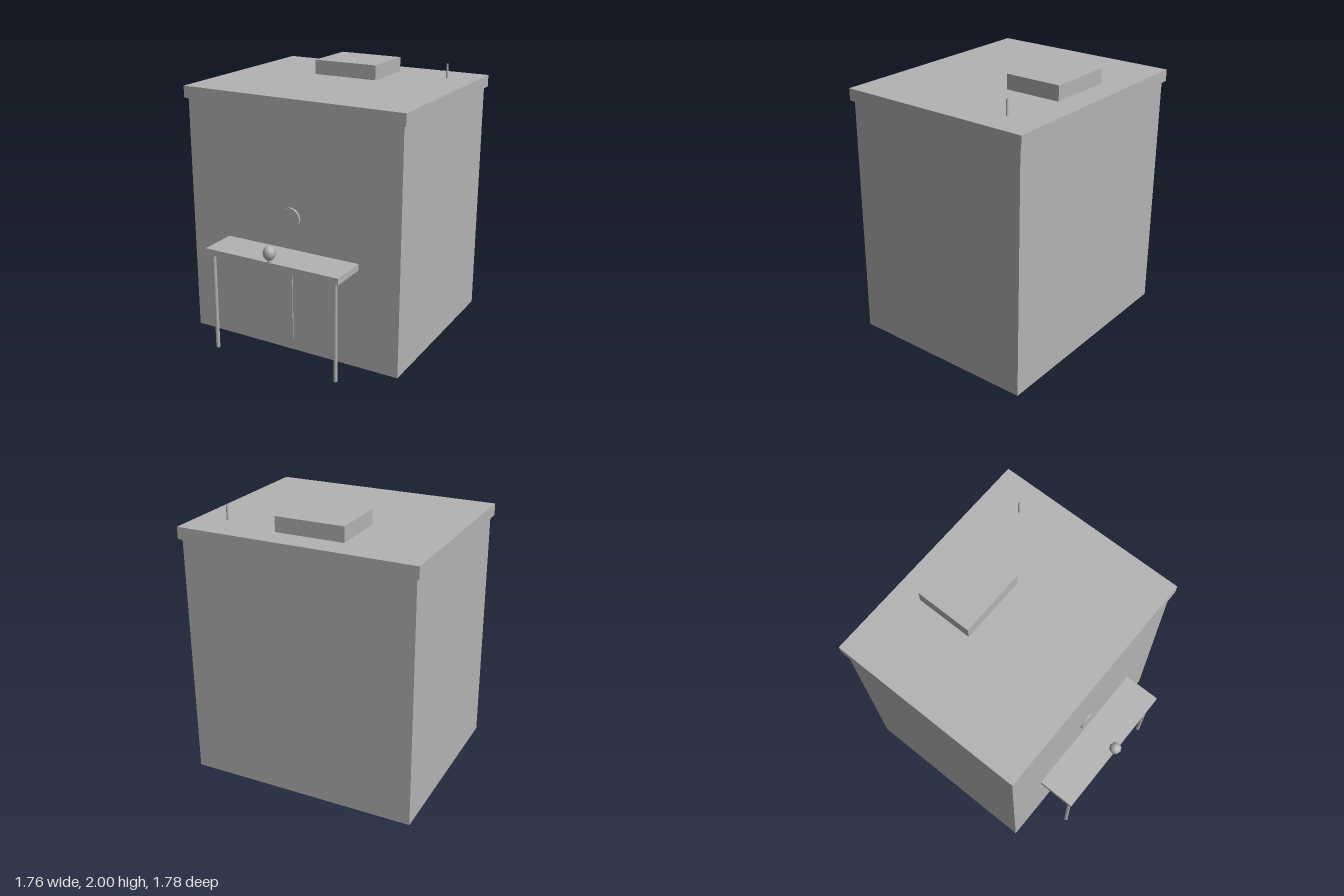
import * as THREE from 'three';

const grey = new THREE.MeshStandardMaterial({ color: 0xb3b3b3, side: THREE.DoubleSide });
grey.name = 'plain grey';

export function createModel() {
  const model = new THREE.Group();
  model.name = 'kiosk';

  const add = (name, geometry, x, y, z) => {
    const mesh = new THREE.Mesh(geometry, grey);
    mesh.name = name;
    mesh.position.set(x, y, z);
    model.add(mesh);
    return mesh;
  };

  // Box given by its limits; an open one has no underside
  const box = (name, [x0, x1], [y0, y1], [z0, z1], open = false) => {
    const g = new THREE.BoxGeometry(x1 - x0, y1 - y0, z1 - z0);
    if (open) {
      const index = Array.from(g.index.array);
      index.splice(18, 6);
      g.setIndex(index);
      g.clearGroups();
    }
    return add(name, g, (x0 + x1) / 2, (y0 + y1) / 2, (z0 + z1) / 2);
  };

  // Upright open tube standing between two heights
  const post = (name, radius, y0, y1, x, z) =>
    add(name, new THREE.CylinderGeometry(radius, radius, y1 - y0, 8, 1, true), x, (y0 + y1) / 2, z);

  // Hollow building, roof cap and what stands on it
  box('walls', [-0.856, 0.856], [0, 1.803], [-0.865, 0.562], true);
  box('roof', [-0.878, 0.878], [1.803, 1.89], [-0.887, 0.585], true);
  box('roofVent', [-0.285, 0.226], [1.89, 2], [-0.697, -0.27], true);
  post('antenna', 0.008, 1.89, 2, 0.655, -0.607);

  // Counter on two front legs
  box('counter', [-0.541, 0.541], [0.747, 0.795], [0.562, 0.847]);
  for (const side of [-1, 1]) post(side < 0 ? 'rightLeg' : 'leftLeg', 0.015, 0, 0.747, side * 0.5, 0.808);

  // Egg-shaped bulb on a short stem at the counter edge
  post('bulbStem', 0.014, 0.795, 0.825, 0, 0.843);
  add('bulb', new THREE.SphereGeometry(0.047, 8, 6), 0, 0.867, 0.843).scale.y = 1.17;

  // Round plate and narrow strip on the front wall
  const plate = new THREE.CylinderGeometry(0.079, 0.079, 0.016, 12);
  plate.rotateX(Math.PI / 2);
  add('wallPlate', plate, 0, 1.032, 0.57);
  box('wallStrip', [-0.008, 0.008], [0.09, 0.718], [0.562, 0.57]);

  return model;
}
